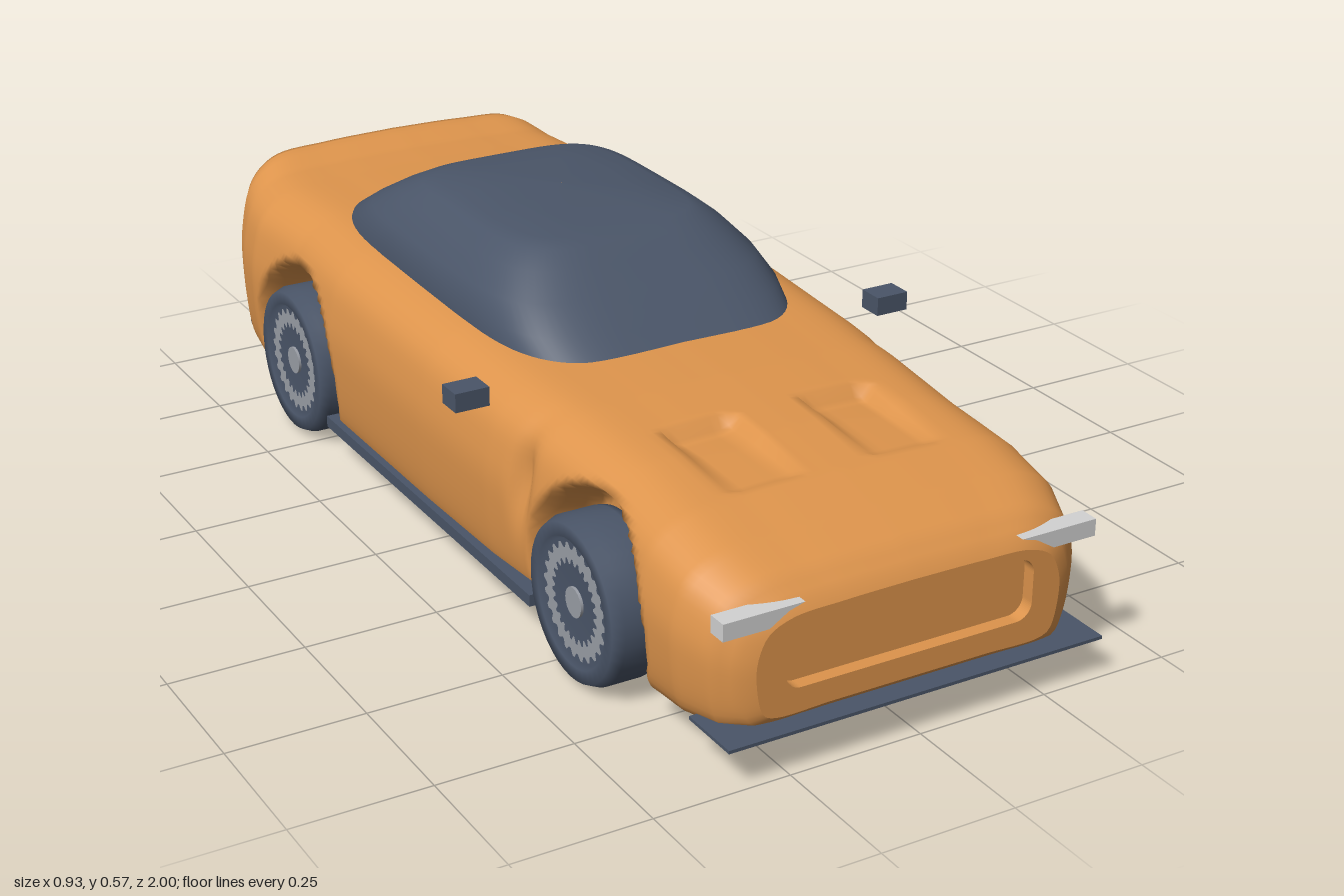
import * as THREE from 'three';

const mat = (name, color, side = THREE.FrontSide) =>
  Object.assign(new THREE.MeshStandardMaterial({ color, side }), { name });

// Skin closed rings of points; ring direction crossed with ring order points outward
function loft(rings) {
  const n = rings[0].length, index = [];
  for (let i = 0; i < rings.length - 1; i++) {
    for (let j = 0; j < n; j++) {
      const k = (j + 1) % n, a = i * n + j, b = i * n + k, c = b + n, d = a + n;
      index.push(a, b, d, b, c, d);
    }
  }
  const geo = new THREE.BufferGeometry().setFromPoints(rings.flat());
  geo.setIndex(index);
  geo.computeVertexNormals();
  return geo;
}

function roundedRect(hx, y0, y1, r, Type = THREE.Shape) {
  const s = new Type();
  s.absarc(hx - r, y1 - r, r, 0, Math.PI / 2);
  s.absarc(-hx + r, y1 - r, r, Math.PI / 2, Math.PI);
  s.absarc(-hx + r, y0 + r, r, Math.PI, Math.PI * 1.5);
  s.absarc(hx - r, y0 + r, r, Math.PI * 1.5, Math.PI * 2);
  return s;
}

// Body stations: z, half width, bottom, top
const stations = [
  [-0.957, 0.335, 0.08, 0.435], [-0.95, 0.348, 0.07, 0.455], [-0.92, 0.365, 0.065, 0.454],
  [-0.86, 0.386, 0.065, 0.439], [-0.78, 0.4, 0.06, 0.437], [-0.6, 0.392, 0.055, 0.437],
  [-0.4, 0.405, 0.05, 0.435], [0, 0.405, 0.05, 0.425], [0.25, 0.4, 0.05, 0.412],
  [0.4, 0.388, 0.05, 0.405], [0.6, 0.375, 0.05, 0.39], [0.75, 0.385, 0.055, 0.37],
  [0.85, 0.38, 0.06, 0.345], [0.92, 0.355, 0.065, 0.315], [0.955, 0.318, 0.075, 0.283],
  [0.965, 0.295, 0.088, 0.266],
];
const WHEEL_Z = 0.575, WHEEL_Y = 0.148;
const { smoothstep, lerp } = THREE.MathUtils;

// Wheel wells, side scoops and bonnet vents pressed into the body
function sculpt(p, top) {
  const r = Math.hypot(Math.abs(p.z) - WHEEL_Z, p.y - WHEEL_Y);
  if (p.x > 0.28) p.x = lerp(0.28, p.x, smoothstep(r, 0.155, 0.195));
  if (p.x > 0.3) {
    p.x -= 0.025 * Math.exp(-(((p.z - 0.355) / 0.025) ** 2) - ((p.y - 0.27) / 0.07) ** 2);
  }
  if (p.y > top - 0.05 && p.z > 0.51 && p.z < 0.73) {
    const across = smoothstep(p.x, 0.065, 0.085) * (1 - smoothstep(p.x, 0.19, 0.21));
    const along = smoothstep(p.z, 0.515, 0.535) * lerp(1, 0.25, (p.z - 0.51) / 0.22);
    p.y -= 0.028 * across * along;
  }
  return p;
}

function bodyRing(z, w, b, t) {
  const h = t - b;
  const half = new THREE.CatmullRomCurve3([
    [0, b], [0.5 * w, b], [0.88 * w, b], [0.95 * w, b + 0.06 * h], [w, b + 0.45 * h],
    [0.985 * w, b + 0.66 * h], [0.925 * w, b + 0.85 * h], [0.78 * w, b + 0.96 * h],
    [0.45 * w, t - 0.01 * h], [0, t],
  ].map(([x, y]) => new THREE.Vector3(x, y, z))).getSpacedPoints(64).map(p => sculpt(p, t));
  const mirrored = half.slice(1, -1).reverse().map(p => new THREE.Vector3(-p.x, p.y, p.z));
  return [...half, ...mirrored];
}

function bodyRings() {
  const rings = [bodyRing(...stations[0])];
  for (let i = 1; i < stations.length; i++) {
    const a = stations[i - 1], b = stations[i], n = Math.ceil((b[0] - a[0]) / 0.012);
    for (let k = 1; k <= n; k++) rings.push(bodyRing(...a.map((v, c) => lerp(v, b[c], k / n))));
  }
  return rings;
}

// Canopy levels: y, half width, front z, rear z
const canopyLevels = [
  [0.39, 0.3, 0.285, -0.69], [0.44, 0.3, 0.218, -0.645], [0.48, 0.281, 0.16, -0.58],
  [0.52, 0.245, 0.1, -0.51], [0.545, 0.213, 0.065, -0.46], [0.556, 0.185, 0.035, -0.425],
  [0.564, 0.11, -0.06, -0.34], [0.567, 0.001, -0.2, -0.202],
];
function canopyRing([y, hx, zf, zb]) {
  const pow = v => Math.sign(v) * Math.abs(v) ** 0.45;
  return Array.from({ length: 72 }, (_, j) => {
    const a = (j / 72) * Math.PI * 2;
    return new THREE.Vector3(hx * pow(Math.cos(a)), y,
      (zf + zb) / 2 - ((zf - zb) / 2) * pow(Math.sin(a)));
  });
}

export function createModel() {
  const model = new THREE.Group();
  model.name = 'car';
  const paint = mat('orange paint', 0xdd944c);
  const dark = mat('dark slate', 0x4a5568);
  const alloy = mat('wheel grey', 0x9a9ea6);
  const lamp = mat('headlight white', 0xd2d2d2);
  const red = mat('tail light red', 0xb5474c);
  const add = (name, geo, material, x = 0, y = 0, z = 0, parent = model) => {
    const m = new THREE.Mesh(geo, material);
    m.name = name;
    m.position.set(x, y, z);
    parent.add(m);
    return m;
  };
  const box = (x, y, z) => new THREE.BoxGeometry(x, y, z);

  // Body shell with flat tail and nose panels
  const rings = bodyRings(), outline = ring => new THREE.Shape(ring.map(p => new THREE.Vector2(p.x, p.y)));
  add('body', loft(rings), paint);
  add('tailPanel', new THREE.ShapeGeometry(outline(rings[0])).rotateY(Math.PI), paint, 0, 0, -0.957);
  const nose = outline(rings[rings.length - 1]);
  nose.holes.push(roundedRect(0.24, 0.13, 0.244, 0.03, THREE.Path));
  add('nosePanel', new THREE.ShapeGeometry(nose, 8), paint, 0, 0, 0.965);

  // Grille recess
  const frame = roundedRect(0.246, 0.124, 0.25, 0.036);
  frame.holes.push(roundedRect(0.24, 0.13, 0.244, 0.03, THREE.Path));
  add('grilleSurround', new THREE.ExtrudeGeometry(frame, { depth: 0.026, bevelEnabled: false, curveSegments: 8 }),
    paint, 0, 0, 0.9385);
  add('grilleBack', new THREE.ShapeGeometry(roundedRect(0.244, 0.126, 0.248, 0.034), 8), paint, 0, 0, 0.94);

  // Glasshouse and roof
  add('canopy', loft(canopyLevels.map(canopyRing)), dark);

  // Front splitter
  add('splitter', box(0.73, 0.006, 0.12), dark, 0, 0.076, 0.94);

  // Rear diffuser with scalloped trailing edge
  const plan = new THREE.Shape();
  plan.moveTo(0.32, 0.87);
  for (let i = 0; i <= 48; i++) {
    const x = 0.32 - (0.64 * i) / 48;
    plan.lineTo(x, 0.972 + 0.018 * (1 - Math.abs(Math.sin((Math.PI * x) / 0.23))) ** 1.5);
  }
  plan.lineTo(-0.32, 0.87);
  add('diffuser', new THREE.ExtrudeGeometry(plan, {
    depth: 0.045, bevelThickness: 0.012, bevelSize: 0.01, bevelSegments: 3,
  }).rotateX(-Math.PI / 2), dark, 0, 0.068, 0);

  // Headlight outline and wheel parts shared by both sides
  const light = new THREE.Shape([[0.36, 0.253], [0.36, 0.284], [0.21, 0.284], [0.24, 0.275], [0.275, 0.253]]
    .map(p => new THREE.Vector2(...p)));
  const lightGeo = new THREE.ExtrudeGeometry(light, { depth: 0.036, bevelEnabled: false });
  const tyreGeo = new THREE.LatheGeometry([
    [0, -0.053], [0.13, -0.053], [0.145, -0.045], [0.148, -0.03], [0.148, 0.035],
    [0.139, 0.055], [0.115, 0.055], [0.109, 0.045], [0, 0.045],
  ].map(p => new THREE.Vector2(...p)), 40).rotateZ(-Math.PI / 2);
  const toothed = (r0, r1, Type) => new Type(Array.from({ length: 96 }, (_, i) => {
    const a = (i / 96) * Math.PI * 2, r = i % 4 < 2 ? r0 : r1;
    return new THREE.Vector2(r * Math.cos(a), r * Math.sin(a));
  }));
  const rim = toothed(0.104, 0.094, THREE.Shape);
  rim.holes.push(toothed(0.066, 0.076, THREE.Path));
  const rimGeo = new THREE.ShapeGeometry(rim).rotateY(Math.PI / 2);
  const hubGeo = new THREE.CylinderGeometry(0.027, 0.027, 0.008, 20).rotateZ(-Math.PI / 2);

  for (const [side, s] of [['left', 1], ['right', -1]]) {
    const half = new THREE.Group();
    half.name = side + 'Side';
    half.scale.x = s;
    model.add(half);
    add('mirror', box(0.065, 0.035, 0.05), dark, 0.4325, 0.4025, 0.25, half);
    add('sideSkirt', box(0.04, 0.022, 0.84), dark, 0.385, 0.077, 0, half);
    add('headlight', lightGeo, lamp, 0, 0, 0.932, half);
    add('upperTailLight', box(0.165, 0.013, 0.016), red, 0.242, 0.34, -0.958, half);
    add('lowerTailLight', box(0.145, 0.013, 0.016), red, 0.232, 0.317, -0.958, half);
    for (const [end, z] of [['front', WHEEL_Z], ['rear', -WHEEL_Z]]) {
      const wheel = new THREE.Group();
      wheel.name = end + 'Wheel';
      wheel.position.set(0.355, WHEEL_Y, z);
      half.add(wheel);
      add('tyre', tyreGeo, dark, 0, 0, 0, wheel);
      add('rim', rimGeo, alloy, 0.048, 0, 0, wheel);
      add('hub', hubGeo, alloy, 0.046, 0, 0, wheel);
    }
  }
  return model;
}
